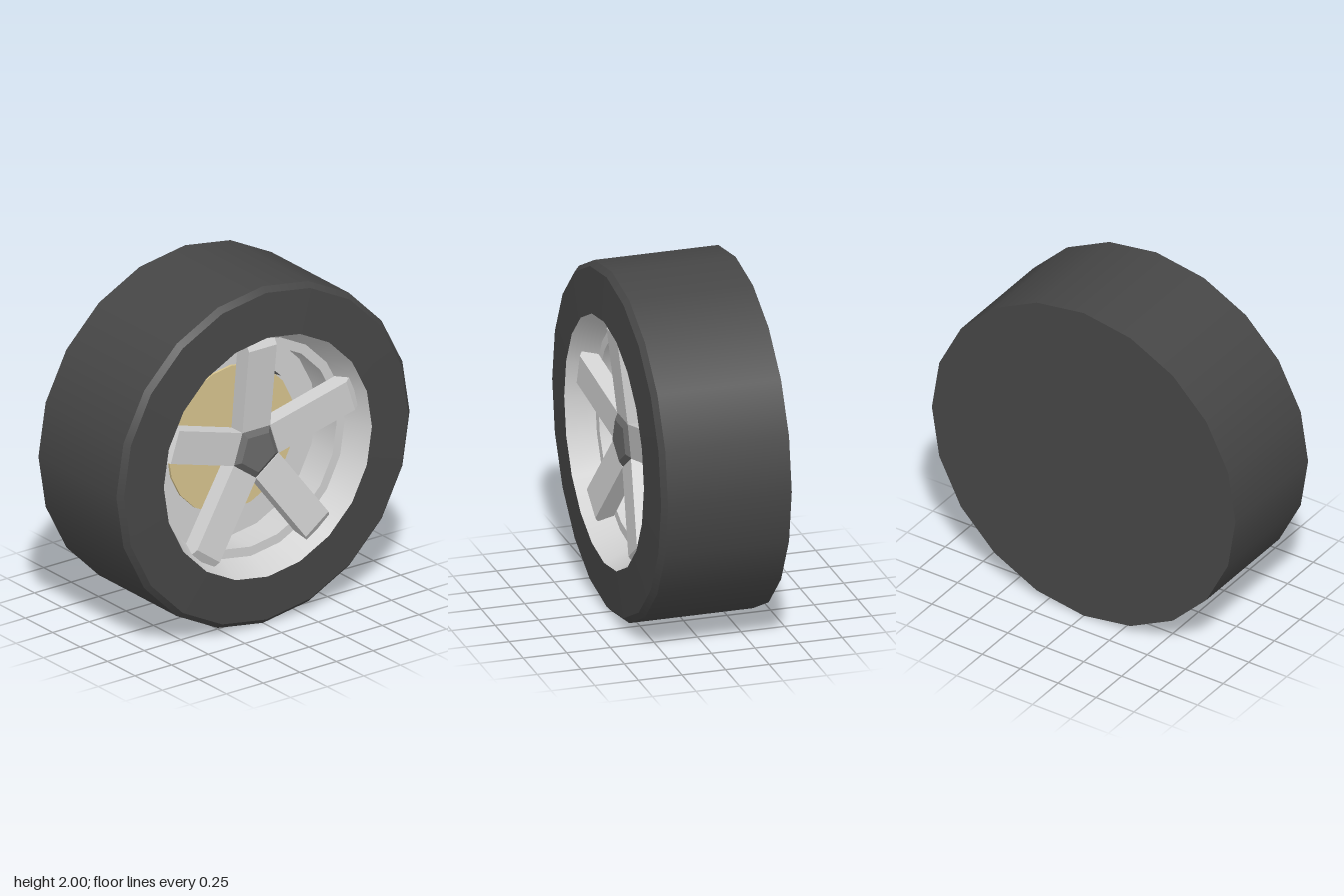
import * as THREE from 'three';

export function createModel() {
  const wheel = new THREE.Group();
  wheel.name = 'wheel';

  const mat = (name, color) => {
    const m = new THREE.MeshStandardMaterial({ color });
    m.name = name;
    return m;
  };
  const rubber = mat('dark rubber', 0x464646);
  const alloy = mat('light alloy', 0xd0d0d0);
  const brass = mat('brake disc gold', 0xd6c38d);
  const capGrey = mat('hub cap grey', 0x6a6a6a);

  const add = (parent, name, geometry, material) => {
    const mesh = new THREE.Mesh(geometry, material);
    mesh.name = name;
    parent.add(mesh);
    return mesh;
  };

  // Turns a profile of [x, radius] points about the x axis, one band per
  // segment so that the edges between bands stay sharp.
  const turned = (name, profile, material) => {
    const group = new THREE.Group();
    group.name = name;
    for (let i = 0; i < profile.length - 1; i++) {
      const points = [profile[i], profile[i + 1]].map(([x, r]) => new THREE.Vector2(r, x));
      const band = new THREE.LatheGeometry(points, 20).rotateZ(-Math.PI / 2);
      add(group, name + 'Band', band, material);
    }
    wheel.add(group);
  };

  // Tyre: closed back, tread, bevelled shoulder and sidewall
  turned('tyre', [[-0.38, 0], [-0.38, 1], [0.33, 1], [0.36, 0.97], [0.375, 0.71]], rubber);

  // Rim: tapered lip, step, barrel and back plate
  turned('rim', [[0.375, 0.71], [0.22, 0.64], [0.22, 0.585], [0.03, 0.585], [0.03, 0]], alloy);

  // Brake disc
  turned('brakeDisc', [[0.03, 0.43], [0.045, 0.43], [0.045, 0]], brass);

  // Dark notch on the edge of the disc
  const notch = new THREE.Shape([
    new THREE.Vector2(0.17, 0.395), new THREE.Vector2(0.25, 0.33),
    new THREE.Vector2(0.335, 0.285), new THREE.Vector2(0.26, 0.355),
  ]);
  const notchPlate = new THREE.ShapeGeometry(notch).rotateY(Math.PI / 2).translate(0.049, 0, 0);
  add(wheel, 'discNotch', notchPlate, rubber);

  // Five spokes, dished towards the hub, with bevelled tips
  const spokeWidth = 0.19;
  const side = new THREE.Shape([
    new THREE.Vector2(0.17, 0.13), new THREE.Vector2(0.27, 0.13),
    new THREE.Vector2(0.33, 0.63), new THREE.Vector2(0.3, 0.68),
    new THREE.Vector2(0.23, 0.68),
  ]);
  const spoke = new THREE.ExtrudeGeometry(side, { depth: spokeWidth, bevelEnabled: false });
  spoke.translate(0, 0, -spokeWidth / 2);
  for (let i = 0; i < 5; i++) {
    add(wheel, 'spoke', spoke, alloy).rotation.x = (i * Math.PI * 2) / 5;
  }

  // Five-sided hub between the spokes, with a raised bevelled cap
  const pentagon = (name, frontRadius, backRadius, back, front) => {
    const g = new THREE.CylinderGeometry(
      frontRadius, backRadius, front - back, 5, 1, false, Math.PI / 2,
    ).toNonIndexed();
    g.computeVertexNormals();
    g.rotateZ(-Math.PI / 2).translate((front + back) / 2, 0, 0);
    add(wheel, name, g, capGrey);
  };
  pentagon('hub', 0.16, 0.16, 0.17, 0.265);
  pentagon('hubCap', 0.12, 0.16, 0.265, 0.29);

  // Stand the wheel on the ground
  wheel.children.forEach((part) => { part.position.y += 1; });
  return wheel;
}
